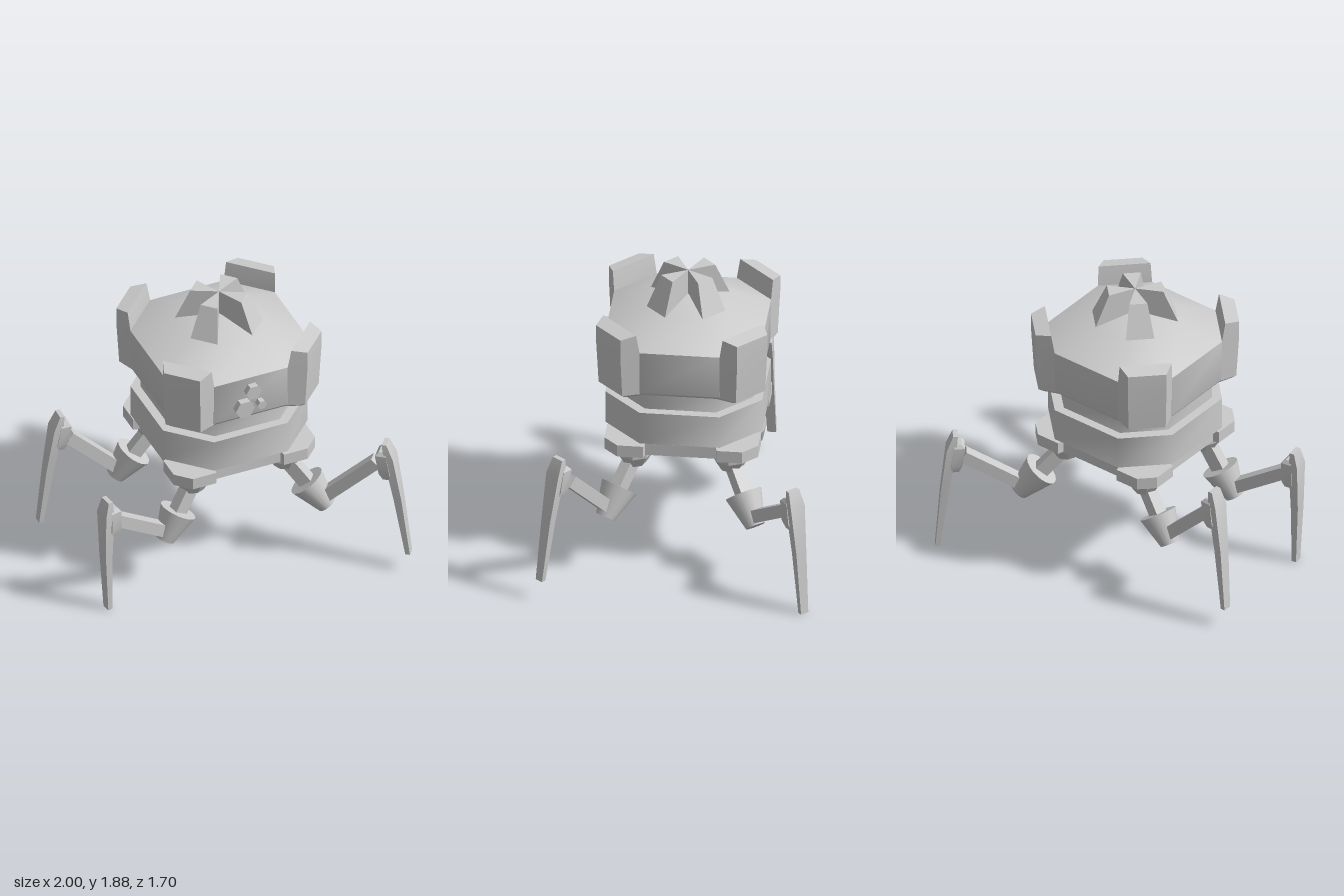
import * as THREE from 'three';
import { toCreasedNormals } from 'three/addons/utils/BufferGeometryUtils.js';

const V = (x, y, z) => new THREE.Vector3(x, y, z);
const material = new THREE.MeshStandardMaterial({ color: 0xcccccc });
const flat = new THREE.MeshStandardMaterial({ color: 0xcccccc, flatShading: true });

// Skin a stack of loops (bottom to top, each running from +x towards +z) and cap both ends
function loft(loops, crease = 0.3) {
  const pos = [];
  const tri = (...pts) => pts.forEach(p => pos.push(p.x, p.y, p.z));
  const n = loops[0].length;
  const middle = loop => loop.reduce((s, p) => s.add(p), V(0, 0, 0)).divideScalar(n);
  const bottom = loops[0], top = loops[loops.length - 1];
  const cb = middle(bottom), ct = middle(top);
  for (let i = 0; i < n; i++) {
    const j = (i + 1) % n;
    for (let k = 0; k < loops.length - 1; k++) {
      const a = loops[k], b = loops[k + 1];
      tri(a[i], b[i], a[j]);
      tri(a[j], b[i], b[j]);
    }
    tri(cb, bottom[i], bottom[j]);
    tri(ct, top[j], top[i]);
  }
  const g = new THREE.BufferGeometry();
  g.setAttribute('position', new THREE.Float32BufferAttribute(pos, 3));
  return toCreasedNormals(g, crease);
}

// Square with cut corners, half width w
const octPoints = w => {
  const c = w * 0.51;
  return [[w, -c], [w, c], [c, w], [-c, w], [-w, c], [-w, -c], [-c, -w], [c, -w]];
};
const level = (pts, y, s = 1) => pts.map(([x, z]) => V(x * s, y, z * s));
const octLoft = list => loft(list.map(([y, w]) => level(octPoints(w), y)), 0.85);

function add(parent, name, geometry, mat = material) {
  const mesh = new THREE.Mesh(geometry, mat);
  mesh.name = name;
  parent.add(mesh);
  return mesh;
}

// Place a geometry that runs along its own z between two points
function between(parent, name, geometry, a, b, mat = material) {
  const mesh = add(parent, name, geometry, mat);
  mesh.position.copy(a).lerp(b, 0.5);
  mesh.lookAt(b);
  return mesh;
}

function makeBody() {
  const body = new THREE.Group();
  body.name = 'body';
  body.position.x = 0.05;

  // Stacked hull
  add(body, 'lowerRing', octLoft([[0.865, 0.42], [0.9, 0.49], [1.12, 0.49]]));
  add(body, 'neckRing', octLoft([[1.11, 0.434], [1.25, 0.434]]));
  add(body, 'upperHull', octLoft([[1.24, 0.47], [1.26, 0.485], [1.55, 0.49]]));
  add(body, 'dome', octLoft([[1.55, 0.49], [1.67, 0.25], [1.71, 0.02]]));

  // Open base plate
  const toVec2 = w => octPoints(w).map(([x, z]) => new THREE.Vector2(x, z));
  const plate = new THREE.Shape(toVec2(0.44));
  plate.holes.push(new THREE.Path(toVec2(0.36)));
  const plateGeo = new THREE.ExtrudeGeometry(plate, { depth: 0.08, bevelEnabled: false });
  plateGeo.rotateX(-Math.PI / 2).translate(0, 0.79, 0);
  add(body, 'basePlate', plateGeo);

  // Corner armour, base brackets and roof fins, one set per diagonal
  const outer = [[0.49, 0.25], [0.535, 0.365], [0.365, 0.535], [0.25, 0.49]];
  const low = [[0.48, 0.245], [0.52, 0.355], [0.355, 0.52], [0.245, 0.48]];
  const rim = [[0.5, 0.27], [0.535, 0.365], [0.365, 0.535], [0.27, 0.5]];
  const rimLoop = level(rim, 1.66);
  rimLoop[0].y = rimLoop[3].y = 1.68;
  const armourGeo = loft([level(low, 1.23, 0.95), level(low, 1.25), level(outer, 1.55), rimLoop]);
  const bracket = [[0.34, 0.2], [0.48, 0.23], [0.48, 0.39], [0.39, 0.48], [0.23, 0.48], [0.2, 0.34]];
  const bracketGeo = loft([level(bracket, 0.79), level(bracket, 0.87)]);
  const finGeo = loft([
    level([[0, 0], [0.25, 0.12], [0.12, 0.25]], 1.66),
    level([[0, 0], [0.16, 0.08], [0.08, 0.16]], 1.88)]);
  for (let k = 0; k < 4; k++) {
    const parts = [['cornerArmour', armourGeo], ['baseBracket', bracketGeo], ['roofFin', finGeo]];
    for (const [name, geo] of parts) add(body, name, geo).rotation.y = k * Math.PI / 2;
  }

  // Hexagonal studs on the front
  for (const [x, y, r] of [[-0.055, 1.34, 0.065], [0.005, 1.455, 0.053], [0.06, 1.343, 0.031]]) {
    const geo = new THREE.CylinderGeometry(r, r, 0.06, 6).rotateY(Math.PI / 6).rotateX(Math.PI / 2);
    add(body, 'hexStud', geo, flat).position.set(x, y, 0.5);
  }
  return body;
}

function makeLeg({ name, hip, elbow, arm, top, foot }) {
  const leg = new THREE.Group();
  leg.name = name;

  // Faceted hip socket
  const profile = [[0, 0.66], [0.07, 0.66], [0.115, 0.735], [0.12, 0.8], [0, 0.8]];
  const socket = new THREE.LatheGeometry(profile.map(p => new THREE.Vector2(...p)), 8);
  add(leg, 'hipSocket', socket, flat).position.set(hip.x, 0, hip.z);

  // Thigh running into a conical elbow cup
  between(leg, 'thigh', new THREE.BoxGeometry(0.075, 0.09, hip.distanceTo(elbow) - 0.05), hip, elbow);
  const mouth = elbow.clone().lerp(hip, 0.48);
  const cup = new THREE.CylinderGeometry(0.062, 0.118, mouth.distanceTo(elbow), 20).rotateX(Math.PI / 2);
  between(leg, 'elbowCup', cup, mouth, elbow);

  // Forearm
  const start = elbow.clone().lerp(mouth, 0.3);
  between(leg, 'forearm', new THREE.BoxGeometry(0.075, 0.08, start.distanceTo(arm)), start, arm);

  // Spike foot: rectangles swept from foot to top, facing away from the elbow
  const out = V(arm.x - elbow.x, 0, arm.z - elbow.z).normalize();
  const side = V(-out.z, 0, out.x);
  const section = ([t, depth, width, shift]) => {
    const c = foot.clone().lerp(top, t).addScaledVector(out, shift);
    return [[1, -1], [1, 1], [-1, 1], [-1, -1]].map(([a, b]) =>
      c.clone().addScaledVector(out, a * depth / 2).addScaledVector(side, b * width / 2));
  };
  const spike = [[0, 0.03, 0.055, 0], [0.5, 0.05, 0.075, 0.012], [0.88, 0.06, 0.105, 0.012], [1, 0.03, 0.08, 0]];
  add(leg, 'spikeFoot', loft(spike.map(section)));

  // Stepped bracket joining forearm and spike
  const joint = [[0.68, 0.05, 0.08, -0.03], [0.74, 0.07, 0.11, -0.035], [0.9, 0.07, 0.11, -0.035], [0.93, 0.04, 0.08, -0.025]];
  add(leg, 'ankleBracket', loft(joint.map(section)));
  return leg;
}

export function createModel() {
  const model = new THREE.Group();
  model.name = 'fourLeggedWalker';
  model.add(makeBody());
  const legs = [
    { name: 'backLeftLeg', hip: V(0.36, 0.72, -0.3), elbow: V(0.59, 0.38, -0.48),
      arm: V(0.85, 0.67, -0.71), top: V(0.885, 0.83, -0.745), foot: V(0.965, 0, -0.82) },
    { name: 'frontLeftLeg', hip: V(0.36, 0.72, 0.3), elbow: V(0.58, 0.38, 0.46),
      arm: V(0.83, 0.78, 0.66), top: V(0.865, 0.955, 0.715), foot: V(0.975, 0.135, 0.82) },
    { name: 'frontRightLeg', hip: V(-0.26, 0.72, 0.3), elbow: V(-0.47, 0.35, 0.34),
      arm: V(-0.83, 0.66, 0.4), top: V(-0.89, 0.83, 0.41), foot: V(-0.89, 0, 0.42) },
    { name: 'backRightLeg', hip: V(-0.26, 0.72, -0.3), elbow: V(-0.5, 0.38, -0.35),
      arm: V(-0.82, 0.78, -0.36), top: V(-0.865, 0.955, -0.37), foot: V(-0.985, 0.135, -0.41) },
  ];
  legs.forEach(leg => model.add(makeLeg(leg)));
  return model;
}
